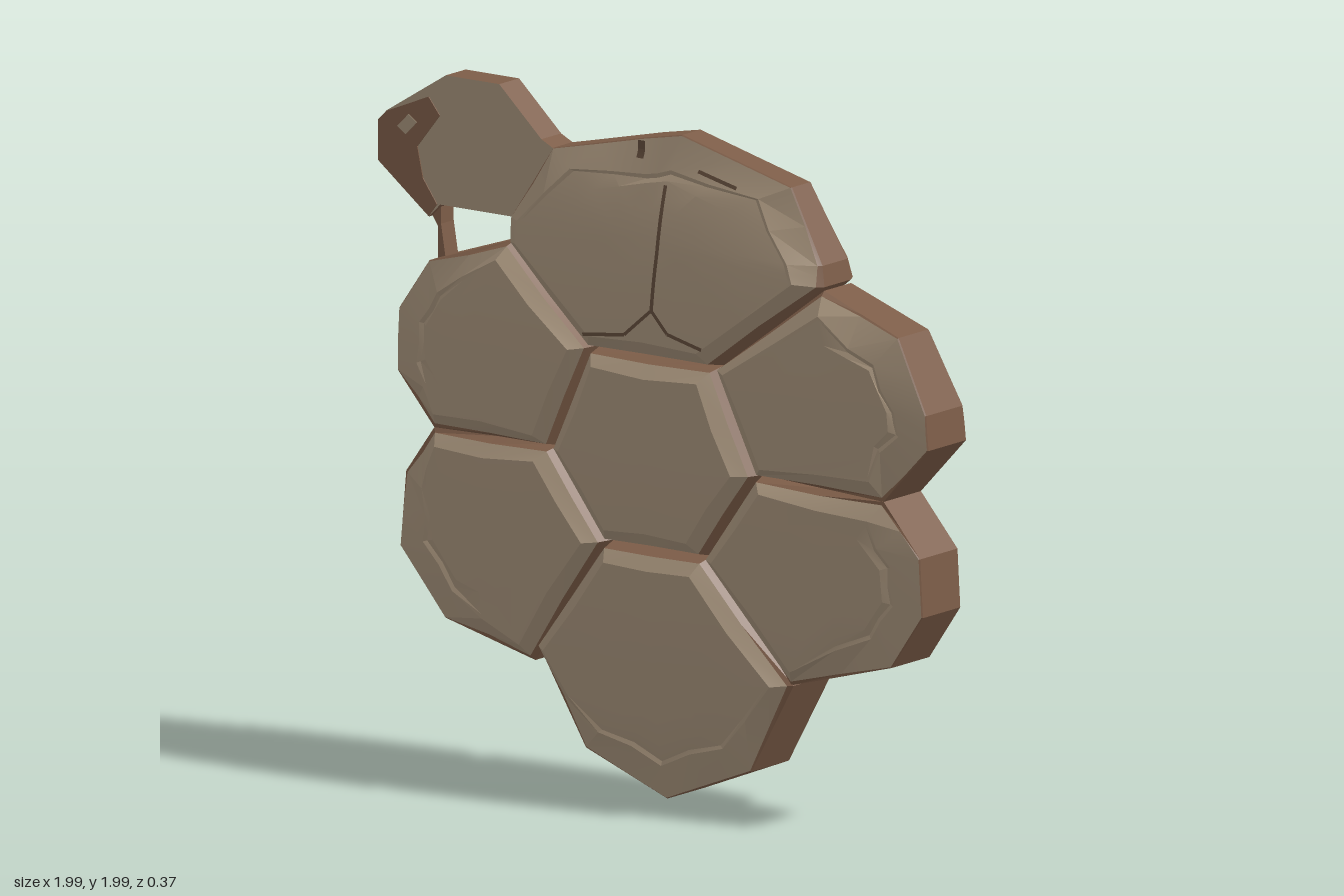
import * as THREE from 'three';
import { toCreasedNormals } from 'three/addons/utils/BufferGeometryUtils.js';

const { clamp, lerp } = THREE.MathUtils;

const tan = new THREE.MeshStandardMaterial({ color: 0xa39079 });
tan.name = 'shellTan';
const brown = new THREE.MeshStandardMaterial({ color: 0x7d5d48 });
brown.name = 'rimBrown';
const crackMaterial = new THREE.MeshStandardMaterial({ color: 0x5f4a3a, side: THREE.DoubleSide });
crackMaterial.name = 'crackBrown';

// Half thickness of the domed shell, and of its outer wall
const dome = (x, y) => {
  const d = y - 1;
  return Math.max(0.182 - 0.095 * x * x - (d > 0 ? 0.2 * d ** 3 : 0.08 * d * d), wall(x, y) + 0.008);
};
const wall = (x, y) => 0.088 - 0.046 * clamp((y - 1.2) / 0.65, 0, 1);
// 0 on joints between plates, 1 on the free outer rim
const outerness = (x, y) => clamp((Math.hypot(x, y - 0.98) - 0.8) / 0.12, 0, 1);

// Corner points, counter-clockwise; neighbours share their joints
const plates = {
  centrePlate: [[-0.32, 0.98], [-0.13, 0.73], [0.22, 0.73], [0.4, 0.99], [0.26, 1.29], [-0.18, 1.29]],
  topPlate: [[-0.18, 1.29], [0.26, 1.29], [0.6, 1.56], [0.59, 1.62], [0.47, 1.83], [0.08, 1.93], [-0.05, 1.905], [-0.38, 1.83], [-0.51, 1.62], [-0.5, 1.55]],
  upperLeftPlate: [[0.4, 0.99], [0.83, 0.97], [0.99, 1.14], [0.98, 1.24], [0.87, 1.45], [0.6, 1.55], [0.26, 1.29]],
  upperRightPlate: [[-0.32, 0.98], [-0.18, 1.29], [-0.5, 1.55], [-0.8, 1.45], [-0.9, 1.3], [-0.9, 1.12], [-0.77, 0.97]],
  lowerLeftPlate: [[0.22, 0.73], [0.5, 0.39], [0.86, 0.49], [0.97, 0.65], [0.96, 0.82], [0.83, 0.97], [0.4, 0.99]],
  lowerRightPlate: [[-0.13, 0.73], [-0.32, 0.98], [-0.77, 0.97], [-0.87, 0.83], [-0.89, 0.61], [-0.73, 0.42], [-0.41, 0.34]],
  bottomPlate: [[0.22, 0.73], [-0.13, 0.73], [-0.4, 0.39], [-0.23, 0.11], [0.06, 0], [0.36, 0.12], [0.51, 0.39]],
};

function solid(positions, material, name) {
  const g = new THREE.BufferGeometry();
  g.setAttribute('position', new THREE.Float32BufferAttribute(positions, 3));
  const mesh = new THREE.Mesh(toCreasedNormals(g, 0.22), material);
  mesh.name = name;
  return mesh;
}

// One plate, lofted through rings from its back centre over the rim to its front centre
function makePlate(name, corners, lift) {
  const group = new THREE.Group();
  group.name = name;
  const outline = [];
  corners.forEach((p, i) => {
    const q = corners[(i + 1) % corners.length];
    outline.push(p, [(p[0] + q[0]) / 2, (p[1] + q[1]) / 2]);
  });
  const cx = corners.reduce((s, p) => s + p[0], 0) / corners.length;
  const cy = corners.reduce((s, p) => s + p[1], 0) / corners.length;

  // Ring k: 0 wall, 1 groove edge, 2 bevel top, 3 engraved step, 4 and up the domed face
  const ring = (k, sign) => outline.map(([x, y]) => {
    const t = outerness(x, y);
    const r = Math.hypot(x - cx, y - cy);
    const bevel = lerp(0.055, 0.1, t);
    const inset = [0, lerp(0.016, 0.003, t), bevel, bevel + 0.013][k];
    const s = k < 4 ? inset / r : [0.45, 0.7, 1][k - 4];
    const px = lerp(x, cx, s), py = lerp(y, cy, s);
    const top = dome(px, py) + lift;
    let z = top;
    if (k === 0) z = wall(x, y);
    if (k === 1) z = lerp(Math.max(top - 0.03, wall(x, y)), wall(x, y) + 0.004, t);
    if (k === 3) z = top - 0.007 * t;
    return [px, py, z * sign];
  });

  const faces = [], edges = [];
  const order = [6, 5, 4, 3, 2, 1, 0];
  const rings = [...order.map(k => ring(k, -1)), ...order.reverse().map(k => ring(k, 1))];
  for (let b = 0; b < rings.length - 1; b++) {
    const lower = rings[b], upper = rings[b + 1];
    const out = b >= 5 && b <= 7 ? edges : faces;
    for (let i = 0; i < outline.length; i++) {
      const j = (i + 1) % outline.length;
      if (b > 0) out.push(...lower[i], ...lower[j], ...upper[j]);
      if (b === 0) out.push(...lower[i], ...upper[j], ...upper[i]);
      else if (b < rings.length - 2) out.push(...lower[i], ...upper[j], ...upper[i]);
    }
  }
  group.add(solid(faces, tan, name + 'Face'), solid(edges, brown, name + 'Rim'));
  return group;
}

// Thin crack line lying on the top plate
function makeCrack(points, width, side, lift) {
  const pos = [];
  const onShell = (x, y) => [x, y, side * (dome(x, y) + lift + 0.002)];
  for (let i = 0; i < points.length - 1; i++) {
    const [ax, ay] = points[i], [bx, by] = points[i + 1];
    const len = Math.hypot(bx - ax, by - ay);
    const nx = -(by - ay) / len * width / 2, ny = (bx - ax) / len * width / 2;
    for (let s = 0; s < 4; s++) {
      const x0 = lerp(ax, bx, s / 4), y0 = lerp(ay, by, s / 4);
      const x1 = lerp(ax, bx, (s + 1) / 4), y1 = lerp(ay, by, (s + 1) / 4);
      const a = onShell(x0 - nx, y0 - ny), b = onShell(x0 + nx, y0 + ny);
      const c = onShell(x1 + nx, y1 + ny), d = onShell(x1 - nx, y1 - ny);
      if (side > 0) pos.push(...a, ...d, ...c, ...a, ...c, ...b);
      else pos.push(...a, ...c, ...d, ...a, ...b, ...c);
    }
  }
  return solid(pos, crackMaterial, 'crack');
}

// Flat piece cut from an outline, centred on z
function makeSlab(points, depth, materials, name) {
  const shape = new THREE.Shape(points.map(p => new THREE.Vector2(...p)));
  const g = new THREE.ExtrudeGeometry(shape, { depth, bevelEnabled: false });
  g.translate(0, 0, -depth / 2);
  const mesh = new THREE.Mesh(g, materials);
  mesh.name = name;
  return mesh;
}

export function createModel() {
  const model = new THREE.Group();
  model.name = 'shellShield';

  for (const [name, corners] of Object.entries(plates)) {
    model.add(makePlate(name, corners, name === 'topPlate' ? 0.012 : 0));
  }

  // Forked crack and small chips on both sides of the top plate
  for (const side of [1, -1]) {
    model.add(
      makeCrack([[0.06, 1.79], [0.07, 1.6], [0.07, 1.44]], 0.012, side, 0.012),
      makeCrack([[0.07, 1.44], [-0.02, 1.36], [-0.17, 1.34]], 0.01, side, 0.012),
      makeCrack([[0.07, 1.44], [0.13, 1.38], [0.25, 1.35]], 0.01, side, 0.012),
      makeCrack([[-0.05, 1.9], [-0.05, 1.85]], 0.025, side, 0.012),
      makeCrack([[0.16, 1.84], [0.3, 1.81]], 0.01, side, 0.012),
    );
  }

  // Flipper-like hook at the upper corner, with its dark worn tip
  model.add(makeSlab([[-1, 1.83], [-1, 1.71], [-0.82, 1.57], [-0.78, 1.61], [-0.46, 1.61], [-0.36, 1.82], [-0.42, 1.85], [-0.57, 1.99], [-0.76, 1.99], [-0.97, 1.86]], 0.094, [tan, brown], 'hook'));
  model.add(makeSlab([[-0.999, 1.83], [-0.999, 1.711], [-0.82, 1.572], [-0.79, 1.61], [-0.84, 1.68], [-0.86, 1.77], [-0.78, 1.87], [-0.82, 1.92], [-0.97, 1.858]], 0.1, brown, 'hookTip'));
  model.add(makeSlab([[-0.93, 1.82], [-0.9, 1.8], [-0.86, 1.84], [-0.89, 1.86]], 0.104, tan, 'hookSpot'));
  // Thin strut joining the hook to the plate below
  model.add(makeSlab([[-0.84, 1.6], [-0.8, 1.54], [-0.8, 1.43], [-0.77, 1.43], [-0.79, 1.55], [-0.79, 1.6]], 0.06, brown, 'strut'));

  return model;
}
